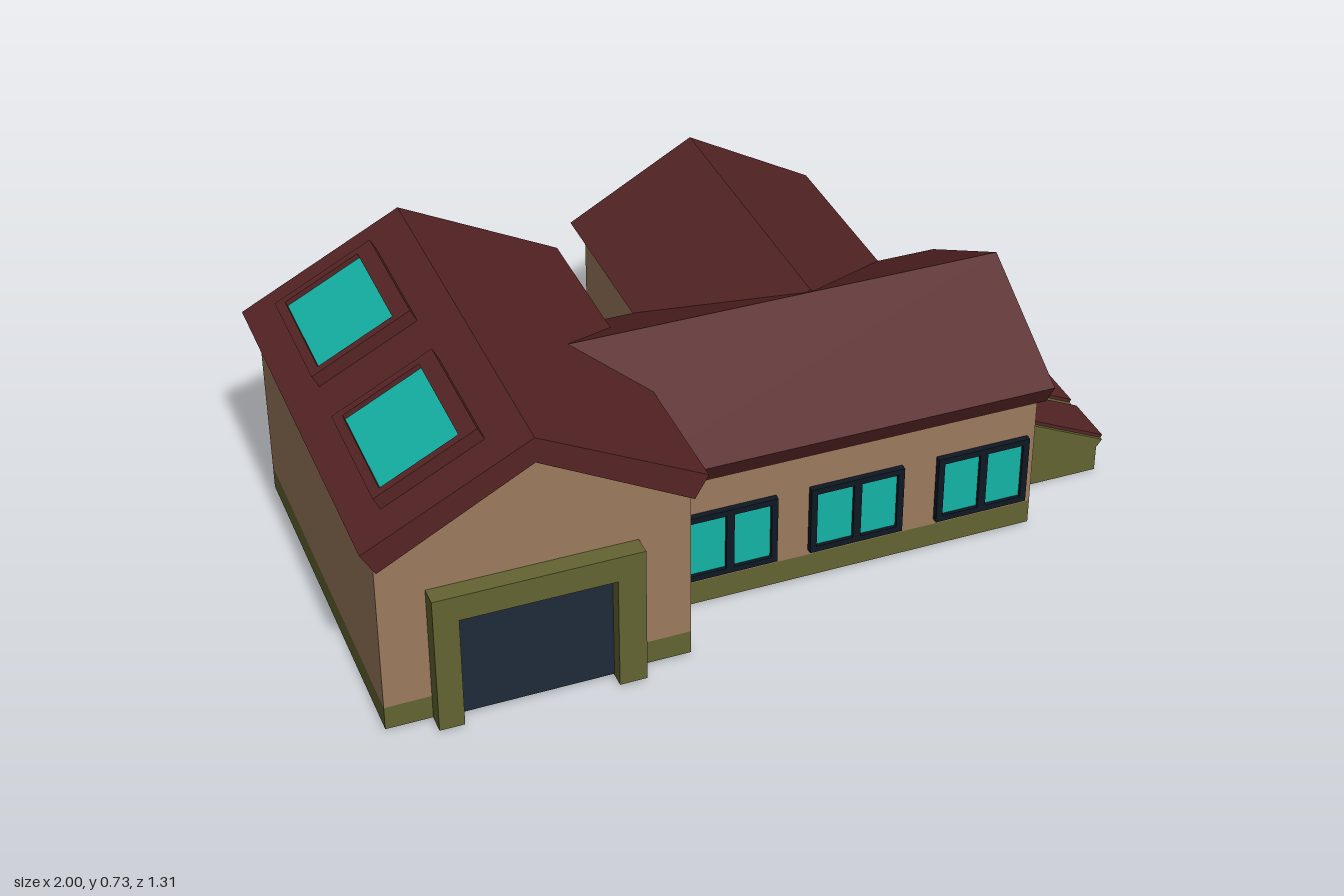
import * as THREE from 'three';

const mat = (color) => new THREE.MeshStandardMaterial({ color });
const M = {
  wall: mat(0x9c7a5e), roof: mat(0x552424), olive: mat(0x646432), glass: mat(0x14b4a6),
  frame: mat(0x0e1824), door: mat(0x1f2b3a), grey: mat(0xcccccc),
};

function add(parent, name, geometry, material) {
  const mesh = new THREE.Mesh(geometry, material);
  mesh.name = name;
  parent.add(mesh);
  return mesh;
}

// Box given by its minimum and maximum corners
function box(parent, name, [x0, y0, z0], [x1, y1, z1], material) {
  const mesh = add(parent, name, new THREE.BoxGeometry(x1 - x0, y1 - y0, z1 - z0), material);
  mesh.position.set((x0 + x1) / 2, (y0 + y1) / 2, (z0 + z1) / 2);
  return mesh;
}

function extrude(points, depth, holes = []) {
  const toV = (l) => l.map(([x, y]) => new THREE.Vector2(x, y));
  const shape = new THREE.Shape(toV(points));
  holes.forEach((h) => shape.holes.push(new THREE.Path(toV(h))));
  return new THREE.ExtrudeGeometry(shape, { depth, bevelEnabled: false });
}

const rect = (x0, y0, x1, y1) => [[x0, y0], [x1, y0], [x1, y1], [x0, y1]];

// Gabled wing running along its local z: plinth, walls and a bent roof slab
function wing(name, w) {
  const g = new THREE.Group();
  g.name = name;
  const h = w.half, o = w.roofHalf;
  const walls = add(g, 'walls', extrude(
    [[-h, 0.07], [h, 0.07], [h, w.eave + 0.002], [0, w.apex + 0.002], [-h, w.eave + 0.002]], w.z1 - w.z0), M.wall);
  walls.position.z = w.z0;
  const side = M.olive;
  box(g, 'plinth', [-h, w.floor, w.z0], [h, 0.07, w.z1], [side, side, side, w.base, side, side]);
  const roof = add(g, 'roof', extrude(
    [[-h, w.eave], [0, w.apex], [h, w.eave], [o, w.tip], [0, w.ridge], [-o, w.tip]], w.r1 - w.r0), M.roof);
  roof.position.z = w.r0;
  return g;
}

// Window on a wall facing +z, centred on its own origin
function windowUnit(name, w, h, panes) {
  const g = new THREE.Group();
  g.name = name;
  const b = 0.016, gap = 0.02;
  const pw = (w - 2 * b - gap * (panes - 1)) / panes;
  const holes = [];
  for (let i = 0; i < panes; i++) {
    const x = -w / 2 + b + i * (pw + gap);
    holes.push(rect(x, -h / 2 + b, x + pw, h / 2 - b));
  }
  add(g, 'windowFrame', extrude(rect(-w / 2, -h / 2, w / 2, h / 2), 0.017, holes), M.frame);
  box(g, 'windowGlass', [-w / 2 + b / 2, -h / 2 + b / 2, 0], [w / 2 - b / 2, h / 2 - b / 2, 0.008], M.glass);
  return g;
}

export function createModel() {
  const house = new THREE.Group();
  house.name = 'house';

  // Three wings
  const garage = wing('garageWing', {
    half: 0.367, roofHalf: 0.4, eave: 0.467, apex: 0.665, tip: 0.525, ridge: 0.73,
    z0: -0.37, z1: 0.605, r0: -0.39, r1: 0.63, floor: 0.008, base: M.wall,
  });
  garage.position.x = -0.6;
  const low = { eave: 0.36, apex: 0.535, tip: 0.42, ridge: 0.605 };
  const main = wing('mainWing', {
    ...low, half: 0.3, roofHalf: 0.335, z0: -0.24, z1: 0.72, r0: -0.42, r1: 0.745, floor: 0.006, base: M.olive,
  });
  main.rotation.y = Math.PI / 2;
  main.position.z = 0.14;
  const back = wing('backWing', {
    ...low, half: 0.298, roofHalf: 0.332, z0: -0.64, z1: -0.155, r0: -0.655, r1: 0.13, floor: 0.008, base: M.wall,
  });
  back.position.x = 0.258;
  house.add(garage, main, back);

  // Garage door and its surround
  const surround = add(house, 'garageDoorFrame', extrude([
    [-0.855, 0.006], [-0.795, 0.006], [-0.795, 0.305], [-0.425, 0.305],
    [-0.425, 0.006], [-0.358, 0.006], [-0.358, 0.372], [-0.855, 0.372]], 0.055), M.olive);
  surround.position.z = 0.597;
  box(house, 'garageDoor', [-0.8, 0.01, 0.6], [-0.42, 0.31, 0.615], M.door);

  // Wall windows
  const place = (unit, x, y, z, turn) => {
    unit.position.set(x, y, z);
    unit.rotation.y = turn;
    house.add(unit);
  };
  for (const x of [-0.075, 0.25, 0.58]) place(windowUnit('frontWindow', 0.24, 0.185, 2), x, 0.178, 0.439, 0);
  for (const x of [-0.41, -0.78]) place(windowUnit('garageBackWindow', 0.195, 0.085, 1), x, 0.31, -0.369, Math.PI);
  place(windowUnit('mainBackWindow', 0.085, 0.19, 1), 0.638, 0.235, -0.159, Math.PI);

  // Skylights lying on the garage roof slope
  const slope = Math.atan2(0.205, 0.4);
  for (const z of [-0.125, 0.373]) {
    const sky = new THREE.Group();
    sky.name = 'skylight';
    const frame = add(sky, 'skylightFrame', extrude(
      rect(-0.135, -0.165, 0.135, 0.165), 0.045, [rect(-0.112, -0.145, 0.093, 0.145)]), M.roof);
    frame.rotation.x = -Math.PI / 2;
    frame.position.y = -0.01;
    box(sky, 'skylightGlass', [-0.12, -0.005, -0.15], [0.1, 0.022, 0.15], M.glass);
    sky.position.set(-0.803, 0.626, z);
    sky.rotation.z = slope;
    house.add(sky);
  }

  // Open trough against the garage back wall
  const trough = new THREE.Group();
  trough.name = 'trough';
  const rim = add(trough, 'troughWalls', extrude(
    rect(-0.835, 0.365, -0.36, 0.49), 0.1, [rect(-0.815, 0.372, -0.38, 0.47)]), M.grey);
  rim.rotation.x = -Math.PI / 2;
  rim.position.y = 0.009;
  box(trough, 'troughFloor', [-0.82, 0.012, -0.475], [-0.375, 0.06, -0.366], M.grey);
  house.add(trough);

  // Sloping cellar hatch on the right end
  const hatch = new THREE.Group();
  hatch.name = 'cellarHatch';
  const body = add(hatch, 'hatchBase', extrude(
    [[0.705, 0], [0.98, 0], [0.98, 0.068], [0.995, 0.088], [0.72, 0.217], [0.705, 0.217]], 0.32), M.olive);
  body.position.z = -0.02;
  const lid = new THREE.Group();
  lid.name = 'hatchDoors';
  lid.position.set(0.86, 0.152, 0.14);
  lid.rotation.z = -Math.atan2(0.129, 0.275);
  for (const s of [-1, 1]) {
    const leaf = box(lid, 'hatchDoor', [-0.152, -0.006, 0], [0.15, 0.008, 0.137], M.roof);
    leaf.position.z = s * 0.083;
    const handle = add(lid, 'hatchHandle', new THREE.TorusGeometry(0.012, 0.003, 6, 10, Math.PI), M.grey);
    handle.position.set(0.01, 0.008, s * 0.025);
  }
  hatch.add(lid);
  house.add(hatch);

  return house;
}
